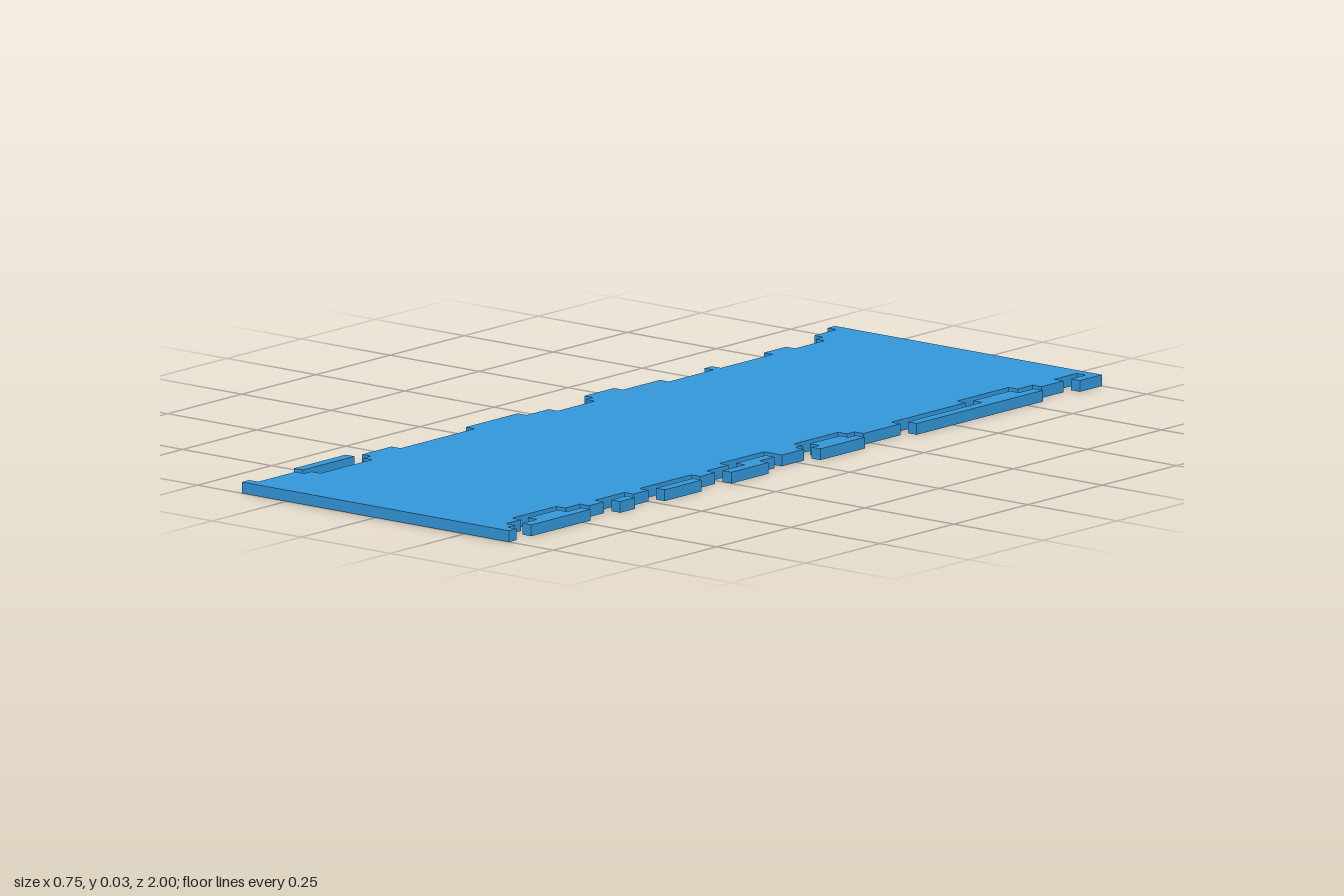
import * as THREE from 'three';

const THICKNESS = 0.025;

// Extrudes a flat slab running along z. Each edge is a list of [x, zEnd] steps from zStart.
function slab(name, material, zStart, left, right) {
  const walk = (steps) => {
    let z = zStart;
    return steps.flatMap(([x, zEnd]) => {
      const run = [new THREE.Vector2(x, z), new THREE.Vector2(x, zEnd)];
      z = zEnd;
      return run;
    });
  };
  const shape = new THREE.Shape([...walk(right), ...walk(left).reverse()]);
  const geometry = new THREE.ExtrudeGeometry(shape, { depth: THICKNESS, bevelEnabled: false });
  geometry.rotateX(Math.PI / 2).translate(0, THICKNESS, 0);
  const mesh = new THREE.Mesh(geometry, material);
  mesh.name = name;
  return mesh;
}

export function createModel() {
  const model = new THREE.Group();
  model.name = 'jaggedPlate';
  const blue = new THREE.MeshStandardMaterial({ color: 0x3498db });
  blue.name = 'blue';

  // Main plate: stepped edges between two straight ends
  const leftEdge = [
    [-0.375, -0.975], [-0.35, -0.9], [-0.325, -0.875], [-0.3, -0.775], [-0.325, -0.7],
    [-0.3, -0.525], [-0.325, -0.5], [-0.3, -0.35], [-0.325, -0.225], [-0.35, -0.125],
    [-0.325, -0.1], [-0.3, 0.025], [-0.325, 0.1], [-0.35, 0.275], [-0.325, 0.525],
    [-0.35, 0.625], [-0.325, 0.65], [-0.3, 0.825], [-0.325, 0.85], [-0.35, 0.975], [-0.375, 1],
  ];
  const rightEdge = [
    [0.35, -0.975], [0.325, -0.9], [0.35, -0.825], [0.325, -0.775], [0.3, -0.6],
    [0.325, -0.35], [0.35, -0.225], [0.325, -0.2], [0.3, -0.05], [0.325, -0.025],
    [0.35, 0.05], [0.3, 0.2], [0.325, 0.275], [0.35, 0.325], [0.325, 0.5],
    [0.35, 0.55], [0.325, 0.65], [0.35, 0.7], [0.325, 0.75], [0.3, 0.9],
    [0.325, 0.95], [0.35, 0.975], [0.375, 1],
  ];
  model.add(slab('mainPlate', blue, -1, leftEdge, rightEdge));

  // Plain border strips: [inner x, outer x, z start, z end]
  const strips = [
    [-0.375, -0.35, 0.65, 0.825],
    [0.35, 0.375, -1, -0.925],
    [0.35, 0.375, 0.35, 0.475],
    [0.35, 0.375, 0.575, 0.625],
  ];
  for (const [x0, x1, z0, z1] of strips) {
    model.add(slab('borderStrip', blue, z0, [[x0, z1]], [[x1, z1]]));
  }

  // Border strips with an inward tab: [z start, z end, tab start, tab end]
  const tabbed = [
    [-0.8, -0.375, -0.75, -0.625],
    [-0.2, -0.05, -0.175, -0.075],
    [0.725, 0.925, 0.775, 0.875],
  ];
  for (const [z0, z1, t0, t1] of tabbed) {
    const inner = [[0.35, t0], [0.325, t1], [0.35, z1]];
    model.add(slab('tabbedStrip', blue, z0, inner, [[0.375, z1]]));
  }

  // Border strip whose tab runs past its end
  model.add(slab('offsetStrip', blue, 0.075,
    [[0.325, 0.175], [0.35, 0.25]], [[0.35, 0.125], [0.375, 0.25]]));

  return model;
}
